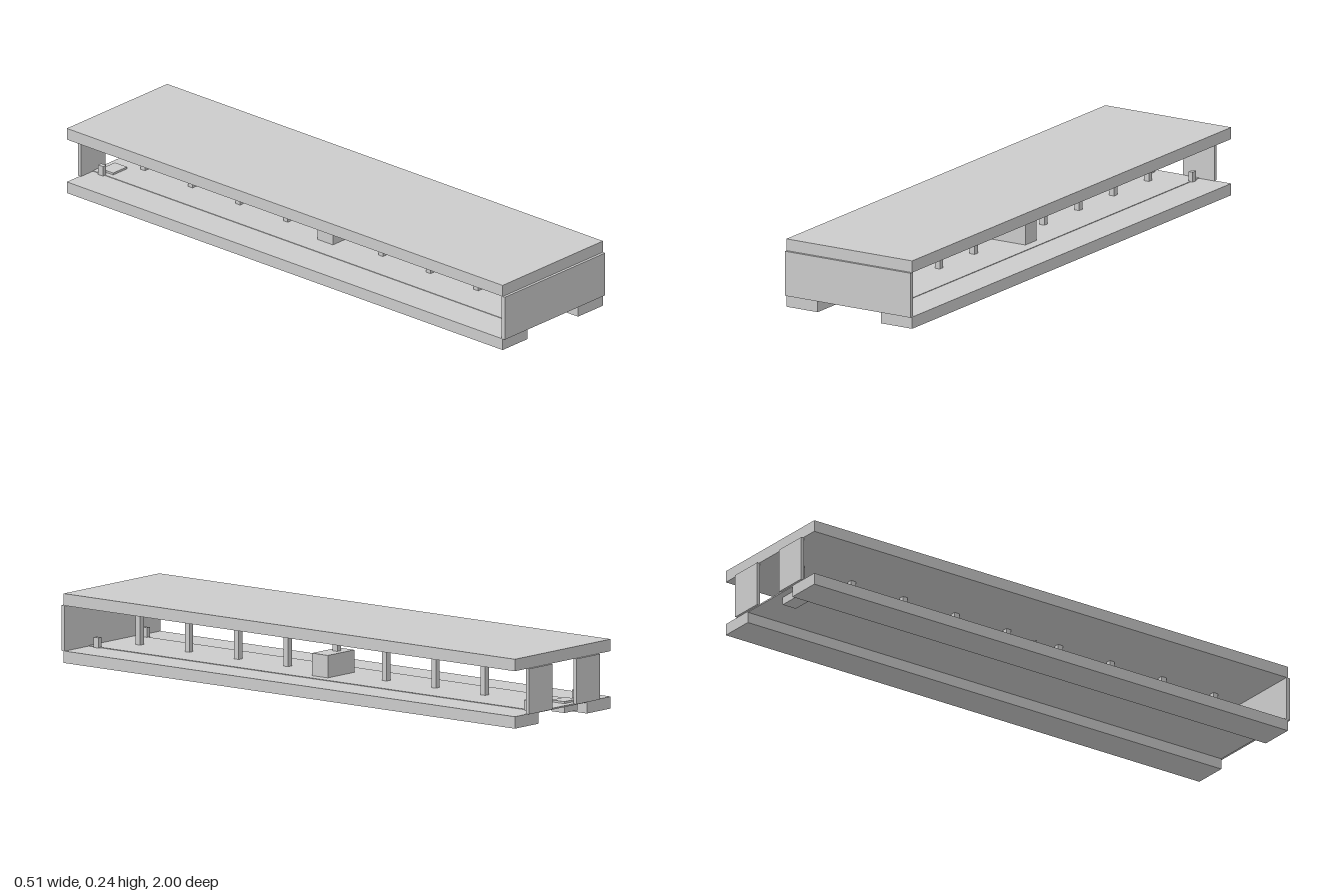
import * as THREE from 'three';

export function createModel() {
  const model = new THREE.Group();
  const material = new THREE.MeshStandardMaterial({ color: 0xcccccc, flatShading: true });

  // Box given by its extents on each axis
  function box(name, [x0, x1], [y0, y1], [z0, z1]) {
    const mesh = new THREE.Mesh(new THREE.BoxGeometry(x1 - x0, y1 - y0, z1 - z0), material);
    mesh.position.set((x0 + x1) / 2, (y0 + y1) / 2, (z0 + z1) / 2);
    mesh.name = name;
    model.add(mesh);
  }

  const length = [-0.992, 0.99];
  const gap = [0.041, 0.197];

  // Top slab and lower deck
  box('topSlab', [-0.253, 0.253], [0.197, 0.238], length);
  box('floorPlate', [-0.127, 0.127], [0.038, 0.043], length);
  for (const s of [-1, 1]) {
    const span = (a, b) => (s > 0 ? [a, b] : [-b, -a]);
    box('bottomRail', span(0.127, 0.253), [0, 0.041], length);
    // Two separate panels close the back
    box('backPanel', span(0.063, 0.188), gap, [-1, -0.987]);
    // Short pegs near the four corners of the deck
    for (const z of [-0.945, 0.945])
      box('cornerPeg', span(0.119, 0.135), [0.041, 0.076], [z - 0.011, z + 0.011]);
  }

  // Full-width front panel
  box('frontPanel', [-0.253, 0.253], gap, [0.985, 1]);

  // Row of central posts carrying the slab
  for (let i = -4; i <= 4; i++) {
    const z = i * 0.2165;
    box('post', [-0.01, 0.01], gap, [z - 0.01, z + 0.01]);
  }

  // Equipment block in the middle and a small fitting near it
  box('centreBlock', [-0.05, 0.09], [0.043, 0.12], [-0.035, 0.035]);
  box('smallFitting', [-0.015, 0.015], [0.155, 0.185], [0.106, 0.114]);

  // Box set through the deck at the back
  box('underBox', [-0.108, -0.038], [0.011, 0.05], [-0.967, -0.912]);

  return model;
}
